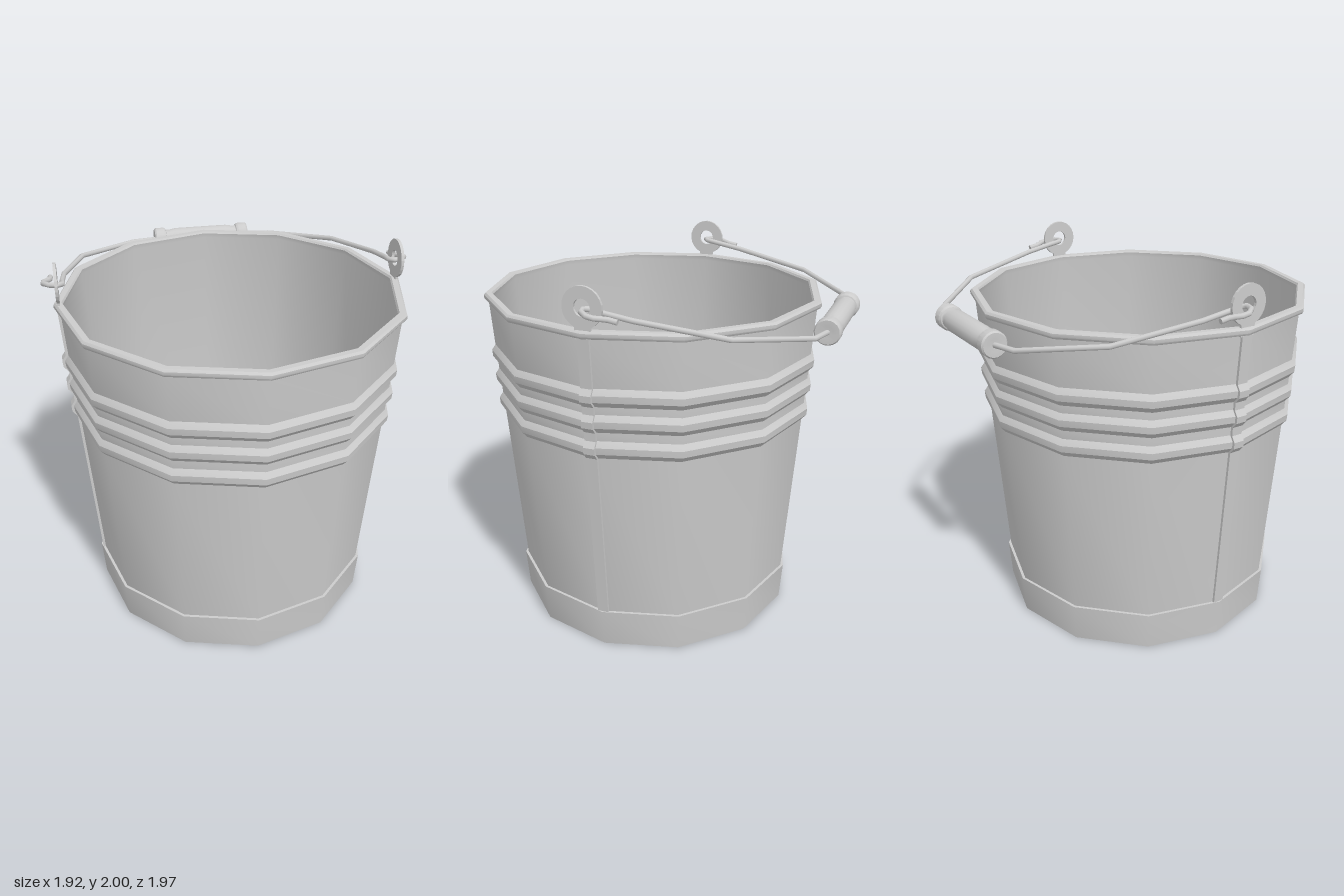
import * as THREE from 'three';
import { toCreasedNormals } from 'three/addons/utils/BufferGeometryUtils.js';

const material = new THREE.MeshStandardMaterial({ color: 0xcccccc });
const CENTRE_Z = 0.075;   // the pail sits slightly forward to balance the handle
const SIDES = 12;

const add = (parent, name, geometry) => {
  const mesh = new THREE.Mesh(geometry, material);
  mesh.name = name;
  parent.add(mesh);
  return mesh;
};

const lathe = (points, segments, crease) =>
  toCreasedNormals(new THREE.LatheGeometry(points.map(p => new THREE.Vector2(...p)), segments), crease);

// Straight tapering wall with three pressed ribs, as [radius, height]
const wallRadius = y => 0.775 + (y - 0.21) * 0.071;
const wall = [[wallRadius(0.21), 0.21]];
for (const y of [1.14, 1.28, 1.415]) {
  const r = wallRadius(y);
  wall.push([r, y], [r + 0.025, y + 0.03], [r + 0.028, y + 0.065], [r + 0.008, y + 0.095]);
}
wall.push([wallRadius(1.755), 1.755]);

// Polyline path with mitred corners, for swept wire
class WirePath extends THREE.Curve {
  constructor(points) {
    super();
    this.points = points;
  }
  index(u) {
    return Math.round(u * (this.points.length - 1));
  }
  getPoint(u, target = new THREE.Vector3()) {
    return target.copy(this.points[this.index(u)]);
  }
  getPointAt(u, target) {
    return this.getPoint(u, target);
  }
  getTangentAt(u, target = new THREE.Vector3()) {
    const p = this.points, i = this.index(u);
    target.set(0, 0, 0);
    if (i > 0) target.add(p[i].clone().sub(p[i - 1]).normalize());
    if (i < p.length - 1) target.add(p[i + 1].clone().sub(p[i]).normalize());
    return target.normalize();
  }
}

function addPail(parent) {
  const profile = [
    [0, 0], [0.775, 0], [0.79, 0.21],                              // base band
    ...wall,
    [0.9, 1.757], [0.907, 1.768], [0.907, 1.784], [0.897, 1.795],  // rolled rim
    [0.867, 1.795], [0.86, 1.785], [0.865, 1.76],
    [0.755, 0.04], [0, 0.04],                                      // inside wall and floor
  ];
  add(parent, 'pail', lathe(profile, SIDES, 0.58)).position.z = CENTRE_Z;
}

function addStrapAndEar(parent, side) {
  const group = new THREE.Group();
  group.name = side > 0 ? 'leftStrapAndEar' : 'rightStrapAndEar';
  group.position.z = CENTRE_Z;
  group.rotation.y = side > 0 ? 0 : Math.PI;
  parent.add(group);

  // Flat strap following the ribs up the wall
  const outer = wall.map(([r, y]) => new THREE.Vector2(r + 0.006, y));
  const inner = wall.map(([r, y]) => new THREE.Vector2(r - 0.008, y)).reverse();
  const strap = new THREE.ExtrudeGeometry(new THREE.Shape([...outer, ...inner]),
    { depth: 0.06, bevelEnabled: false });
  add(group, 'strap', strap.translate(0, 0, -0.03));

  // Round ear with a hole, on a short neck
  const ear = new THREE.Shape();
  const neck = 0.41;
  ear.moveTo(-0.04, -0.15);
  ear.lineTo(0.04, -0.15);
  ear.absarc(0, 0, 0.1, -Math.PI / 2 + neck, Math.PI * 1.5 - neck, false);
  ear.holes.push(new THREE.Path().absarc(0, 0, 0.042, 0, Math.PI * 2, true));
  const earGeometry = new THREE.ExtrudeGeometry(ear, { depth: 0.015, bevelEnabled: false, curveSegments: 10 });
  add(group, 'ear', earGeometry.rotateY(Math.PI / 2).translate(0.874, 1.9, 0));
}

function addBail(parent) {
  // Half of the wire from hook tip to grip, as [x, z]; it lies in a sloping plane
  const half = [
    [0.912, -0.11], [0.913, -0.065], [0.925, -0.04], [0.945, -0.01], [0.946, 0.025],
    [0.915, 0.065], [0.875, 0.078], [0.852, 0.06], [0.853, 0], [0.842, -0.155],
    [0.735, -0.58], [0.42, -0.885], [0.27, -0.92],
  ];
  const place = ([x, z]) => new THREE.Vector3(x, 1.89 + (z - 0.08) * 0.17, z);
  const mirrored = half.map(([x, z]) => [-x, z]).reverse();
  const points = [...half, ...mirrored].map(place);
  const path = new WirePath(points);
  add(parent, 'bailWire', new THREE.TubeGeometry(path, points.length - 1, 0.014, 8));

  // Wire end caps
  for (const u of [0, 1]) {
    const cap = add(parent, 'wireEnd', new THREE.CircleGeometry(0.014, 8));
    const direction = path.getTangentAt(u).multiplyScalar(u ? 1 : -1);
    cap.position.copy(path.getPointAt(u));
    cap.quaternion.setFromUnitVectors(new THREE.Vector3(0, 0, 1), direction);
  }

  // Turned grip with a collar at each end
  const end = [[0, -0.28], [0.03, -0.285], [0.06, -0.285], [0.067, -0.276], [0.067, -0.23],
    [0.06, -0.218], [0.053, -0.215], [0.053, -0.195], [0.06, -0.155]];
  const profile = [...end, ...end.map(([r, y]) => [r, -y]).reverse()];
  const grip = add(parent, 'grip', lathe(profile, 18, 0.6));
  grip.rotation.z = Math.PI / 2;
  grip.position.set(0, 1.72, -0.918);
}

export function createModel() {
  const model = new THREE.Group();
  model.name = 'bucket';
  addPail(model);
  for (const side of [1, -1]) addStrapAndEar(model, side);
  addBail(model);
  return model;
}
